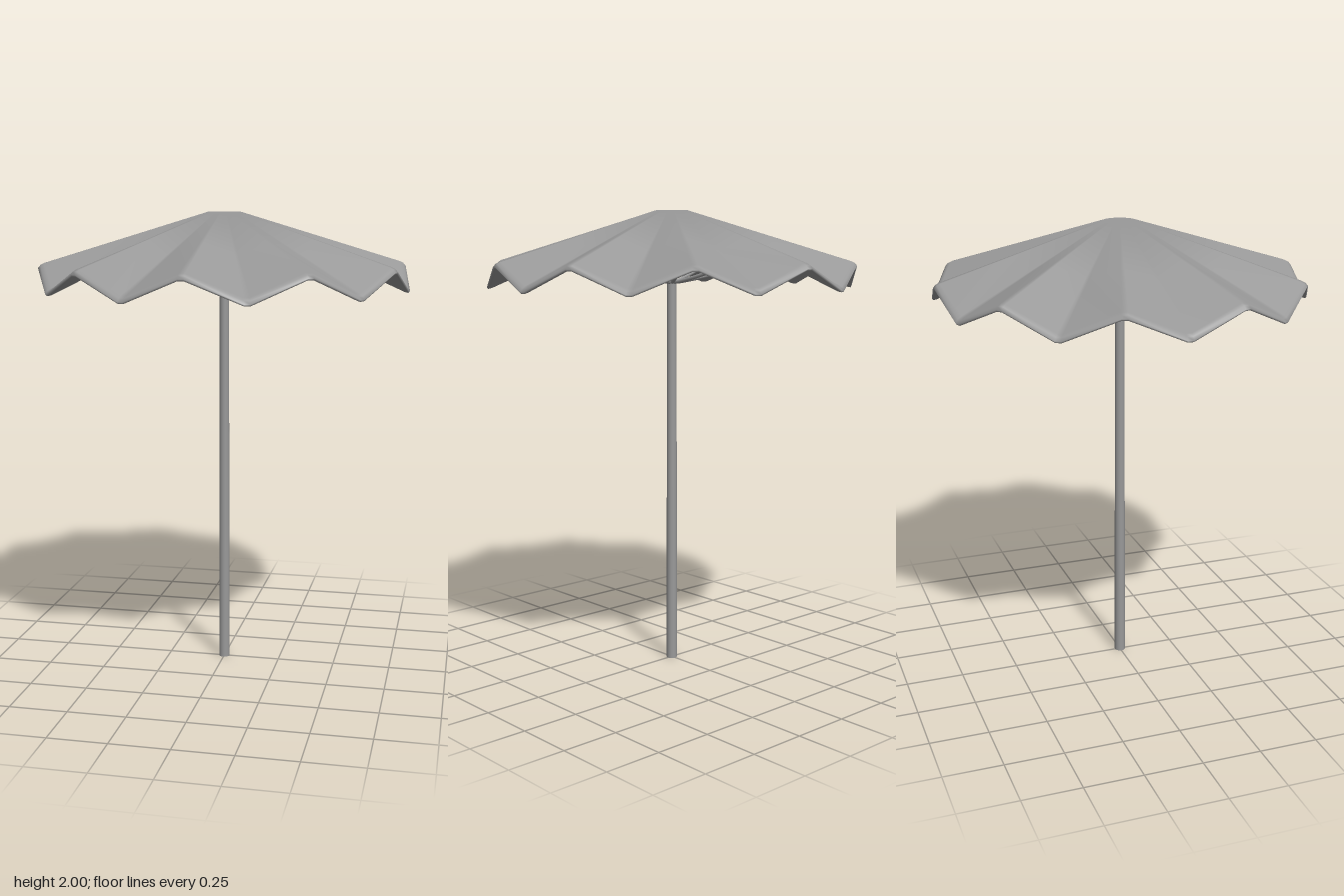
import * as THREE from 'three';

const RIDGES = 10;
const TOP = 2;

// Closed pleated shell: one profile swept round a 20-sided outline whose corners alternate high and low
function canopyGeometry() {
  const flat = 0.07; // radius of the level crown
  const slopes = [0.297, 0.438]; // ridge, valley
  const corners = RIDGES * 2;
  // [radius, offset from the upper surface], crown to hem, then back underneath
  const profile = [
    [0, 0], [flat, 0], [0.45, 0], [0.77, 0],
    [0.785, -0.003], [0.796, -0.012], [0.791, -0.021], [0.775, -0.024],
    [0.45, -0.02], [flat, -0.02], [0, -0.02],
  ];

  // Two columns per panel, set just inside its folds so that each fold is softly bevelled
  const columns = [];
  for (let i = 0; i < corners; i++) {
    for (const t of [0.05, 0.95]) {
      const a = (i / corners) * Math.PI * 2;
      const b = ((i + 1) / corners) * Math.PI * 2;
      columns.push({
        x: THREE.MathUtils.lerp(Math.sin(a), Math.sin(b), t),
        z: THREE.MathUtils.lerp(Math.cos(a), Math.cos(b), t),
        slope: THREE.MathUtils.lerp(slopes[i % 2], slopes[(i + 1) % 2], t),
      });
    }
  }

  const positions = [];
  const index = [];
  const n = profile.length;
  columns.forEach((c, i) => {
    const next = ((i + 1) % columns.length) * n;
    profile.forEach(([r, offset], j) => {
      positions.push(c.x * r, TOP - c.slope * Math.max(r - flat, 0) + offset, c.z * r);
      if (j === n - 1) return;
      const p = i * n + j;
      const q = next + j;
      if (j < n - 2) index.push(p, p + 1, q + 1);
      else index.push(p, p + 1, q);
      if (j > 0 && j < n - 2) index.push(p, q + 1, q);
    });
  });
  const geometry = new THREE.BufferGeometry();
  geometry.setAttribute('position', new THREE.Float32BufferAttribute(positions, 3));
  geometry.setIndex(index);
  geometry.computeVertexNormals();

  // Level normals on the crown let the pleats fade out towards the centre
  const normals = geometry.attributes.normal;
  for (let i = 0; i < columns.length; i++) {
    for (const j of [0, 1]) {
      normals.setXYZ(i * n + j, 0, 1, 0);
      normals.setXYZ(i * n + n - 1 - j, 0, -1, 0);
    }
  }
  return geometry;
}

// Thin rod along +z, curving gently upwards away from the pole
function ribGeometry(length) {
  const geometry = new THREE.CylinderGeometry(0.008, 0.008, length, 8, 8);
  geometry.rotateX(Math.PI / 2).translate(0, 0, length / 2);
  const p = geometry.attributes.position;
  for (let i = 0; i < p.count; i++) {
    const t = Math.max(p.getZ(i), 0) / length;
    p.setY(i, p.getY(i) + 1.692 + 0.088 * Math.pow(t, 1.25));
  }
  geometry.computeVertexNormals();
  return geometry;
}

export function createModel() {
  const model = new THREE.Group();
  model.name = 'parasol';
  const material = new THREE.MeshStandardMaterial({ color: 0x999999 });

  const add = (name, geometry, parent = model) => {
    const mesh = new THREE.Mesh(geometry, material);
    mesh.name = name;
    parent.add(mesh);
    return mesh;
  };

  add('canopy', canopyGeometry());

  // Slightly tapered pole reaching into the crown
  const poleHeight = 1.985;
  add('pole', new THREE.CylinderGeometry(0.02, 0.024, poleHeight, 16)).position.y = poleHeight / 2;

  // One rib beneath each ridge
  const ribs = new THREE.Group();
  ribs.name = 'ribs';
  model.add(ribs);
  const rib = ribGeometry(0.37);
  for (let i = 0; i < RIDGES; i++) {
    add('rib', rib, ribs).rotation.y = (i / RIDGES) * Math.PI * 2;
  }

  return model;
}
